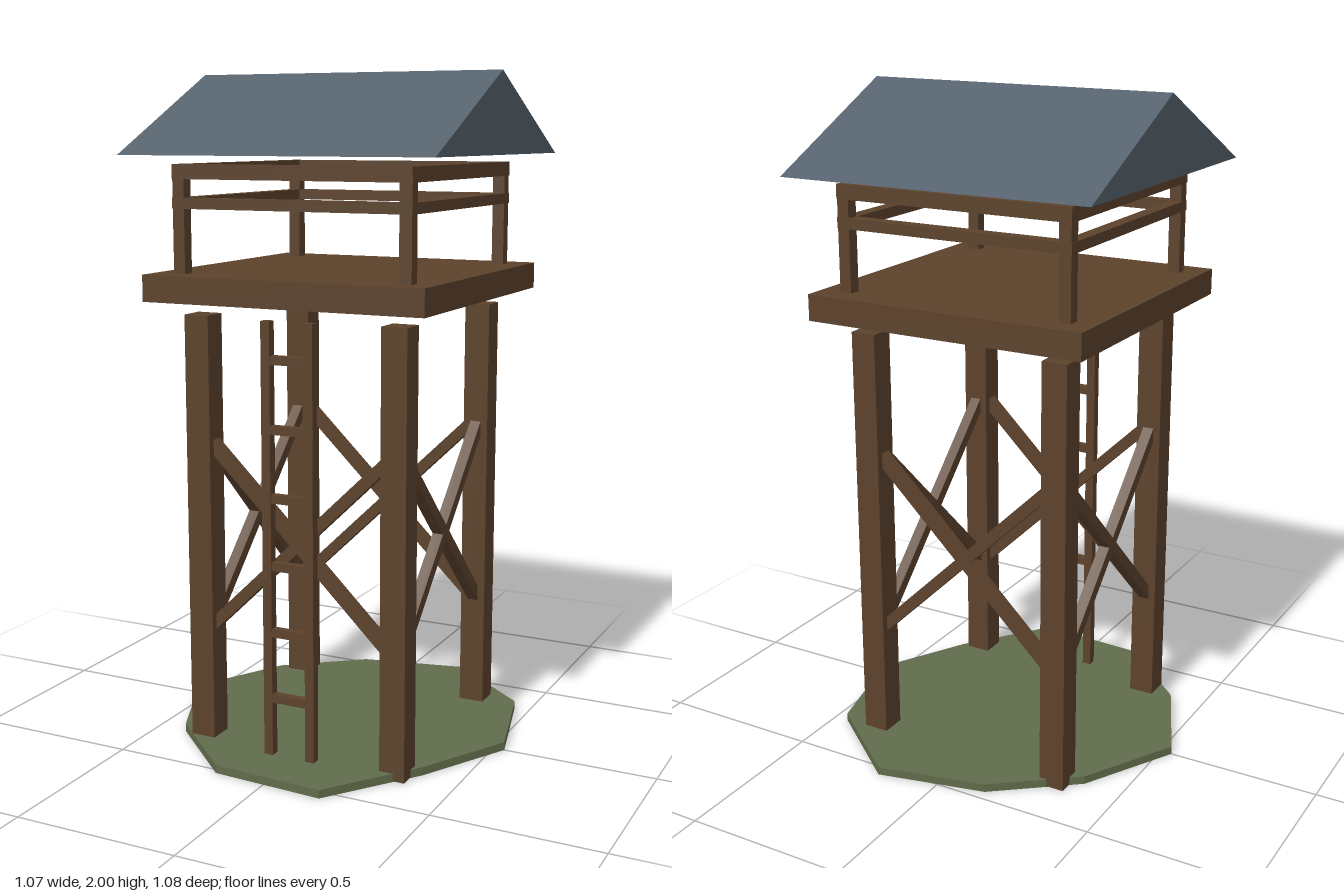
import * as THREE from 'three';

const material = (name, color) => {
  const m = new THREE.MeshStandardMaterial({ color });
  m.name = name;
  return m;
};

export function createModel() {
  const wood = material('brown wood', 0x5c422c);
  const slate = material('slate blue roofing', 0x55626d);
  const grass = material('moss green', 0x616c4b);

  const model = new THREE.Group();
  model.name = 'watchtower';
  const tower = new THREE.Group();
  tower.name = 'tower';
  tower.position.x = 0.008;
  model.add(tower);

  const add = (name, geometry, mat, parent = tower) => {
    const mesh = new THREE.Mesh(geometry, mat);
    mesh.name = name;
    parent.add(mesh);
    return mesh;
  };
  const beam = (name, w, h, d, x, y, z, parent) => {
    const mesh = add(name, new THREE.BoxGeometry(w, h, d), wood, parent);
    mesh.position.set(x, y, z);
    return mesh;
  };

  // Uneven ten-sided patch of ground
  const radii = [0.527, 0.465, 0.568, 0.548, 0.507, 0.545, 0.48, 0.49, 0.568, 0.55];
  const outline = radii.map((r, i) => {
    const a = (i * Math.PI) / 5;
    return new THREE.Vector2(r * Math.cos(a), -r * Math.sin(a));
  });
  const ground = new THREE.ExtrudeGeometry(new THREE.Shape(outline), { depth: 0.025, bevelEnabled: false });
  ground.rotateX(-Math.PI / 2);
  add('ground', ground, grass);

  // Corner legs and railing posts
  for (const sx of [-1, 1]) {
    for (const sz of [-1, 1]) {
      beam('leg', 0.078, 1.308, 0.078, sx * 0.313, 0.656, sz * 0.313);
      beam('railingPost', 0.037, 0.3, 0.037, sx * 0.353, 1.57, sz * 0.353);
    }
  }

  // Platform
  beam('platform', 0.875, 0.078, 0.875, 0, 1.39, 0);

  // Cross braces and railings, repeated around the four sides
  const braceLength = Math.hypot(0.626, 0.608);
  const braceAngle = Math.atan2(0.608, 0.626);
  for (let i = 0; i < 4; i++) {
    const side = new THREE.Group();
    side.name = 'side';
    side.rotation.y = (i * Math.PI) / 2;
    tower.add(side);
    for (const s of [-1, 1]) {
      beam('crossBrace', braceLength, 0.034, 0.034, 0, 0.653, 0.313, side).rotation.z = s * braceAngle;
    }
    beam('topRail', 0.745, 0.042, 0.04, 0, 1.719, 0.353, side);
    beam('midRail', 0.745, 0.031, 0.04, 0, 1.63, 0.353, side);
  }

  // Ladder on the front
  const ladder = new THREE.Group();
  ladder.name = 'ladder';
  ladder.position.z = 0.374;
  tower.add(ladder);
  for (const s of [-1, 1]) beam('ladderRail', 0.028, 1.308, 0.028, s * 0.0675, 0.656, 0, ladder);
  for (let i = 1; i <= 6; i++) beam('rung', 0.164, 0.025, 0.024, 0, i * 0.2, 0, ladder);

  // Solid gable roof with its ridge along x
  const gable = new THREE.Shape([
    new THREE.Vector2(-0.482, 1.766),
    new THREE.Vector2(0.482, 1.766),
    new THREE.Vector2(0, 2),
  ]);
  const roof = new THREE.ExtrudeGeometry(gable, { depth: 0.964, bevelEnabled: false });
  roof.translate(0, 0, -0.482);
  roof.rotateY(Math.PI / 2);
  add('roof', roof, slate);

  return model;
}
